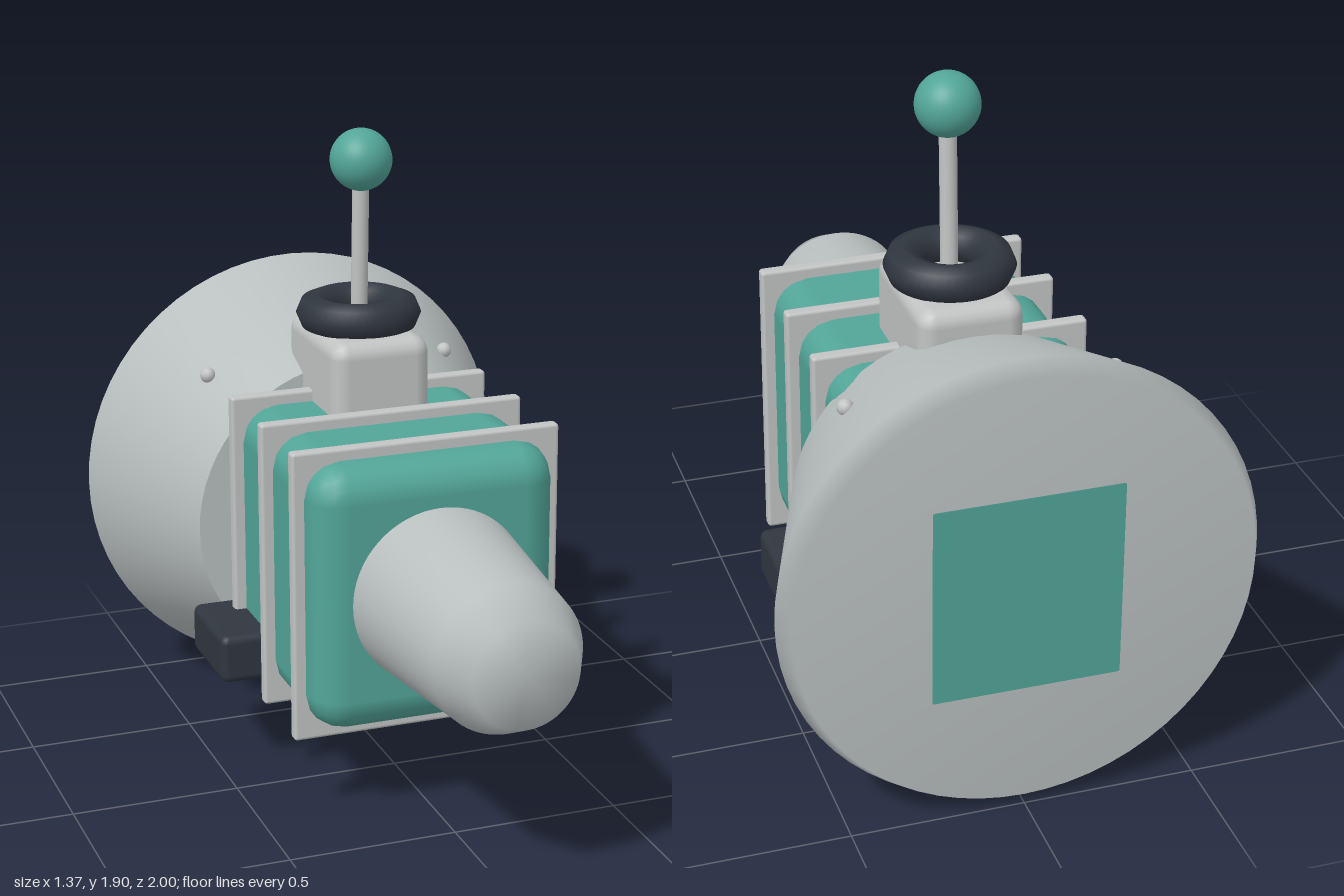
import * as THREE from 'three';
import { RoundedBoxGeometry } from 'three/addons/geometries/RoundedBoxGeometry.js';

export function createModel() {
  const group = new THREE.Group();
  const mat = (name, color) => {
    const m = new THREE.MeshStandardMaterial({ color });
    m.name = name;
    return m;
  };
  const teal = mat('teal', 0x52a598);
  const metal = mat('brushed metal', 0xb9bfbf);
  const trim = mat('light trim', 0xc2c4c4);
  const dark = mat('dark rubber', 0x30363f);

  const add = (name, geometry, material, x, y, z) => {
    const mesh = new THREE.Mesh(geometry, material);
    mesh.name = name;
    mesh.position.set(x, y, z);
    group.add(mesh);
    return mesh;
  };
  // Box given by its extents on each axis
  const box = (name, material, [x0, x1], [y0, y1], [z0, z1], radius, segments = 2) =>
    add(name, new RoundedBoxGeometry(x1 - x0, y1 - y0, z1 - z0, segments, radius), material,
      (x0 + x1) / 2, (y0 + y1) / 2, (z0 + z1) / 2);
  // Lathe along z; profile is [radius, z] from back to front
  const turned = (name, material, profile) => {
    const g = new THREE.LatheGeometry(profile.map(([r, z]) => new THREE.Vector2(r, z)), 64);
    g.rotateX(Math.PI / 2);
    return add(name, g, material, 0, 0.69, 0);
  };

  // Main housing, running through to the back face of the horn
  box('housing', teal, [-0.37, 0.37], [0.29, 1.09], [-1.001, 0.375], 0.105);

  // Front nozzle and rear horn
  turned('nozzle', metal, [[0.265, 0.36], [0.2175, 0.875], [0.155, 1], [0, 1]]);
  turned('horn', metal, [[0, -1], [0.655, -1], [0.685, -0.94], [0.487, -0.375]]);
  turned('hornFrontPlate', metal, [[0.487, -0.375], [0, -0.375]]);

  // Plates around the housing
  for (const z of [0.25, -0.03, -0.31]) {
    box('framePlate', trim, [-0.405, 0.405], [0.255, 1.125], [z - 0.02, z + 0.02], 0.01);
  }

  // Side blocks and horn bolts
  for (const s of [-1, 1]) {
    box('sideBlock', dark, s > 0 ? [0.3, 0.513] : [-0.513, -0.3], [0.305, 0.455], [-0.39, -0.08], 0.025);
    for (const y of [1.11, 0.27]) {
      add('hornBolt', new THREE.SphereGeometry(0.024, 10, 8), trim, s * 0.387, y, -0.592);
    }
  }

  // Top mount, collar and lever
  box('mount', trim, [-0.153, 0.153], [1.0, 1.312], [-0.525, -0.087], 0.05);
  const collar = new THREE.TorusGeometry(0.13, 0.056, 8, 48);
  collar.rotateX(Math.PI / 2);
  add('collar', collar, dark, 0, 1.35, -0.305);

  const lever = add('leverRod', new THREE.CylinderGeometry(0.025, 0.025, 0.54, 24), trim, 0, 1.54, -0.291);
  lever.rotation.x = 0.05;
  add('leverKnob', new THREE.SphereGeometry(0.092, 32, 24), teal, 0, 1.815, -0.278);

  return group;
}
